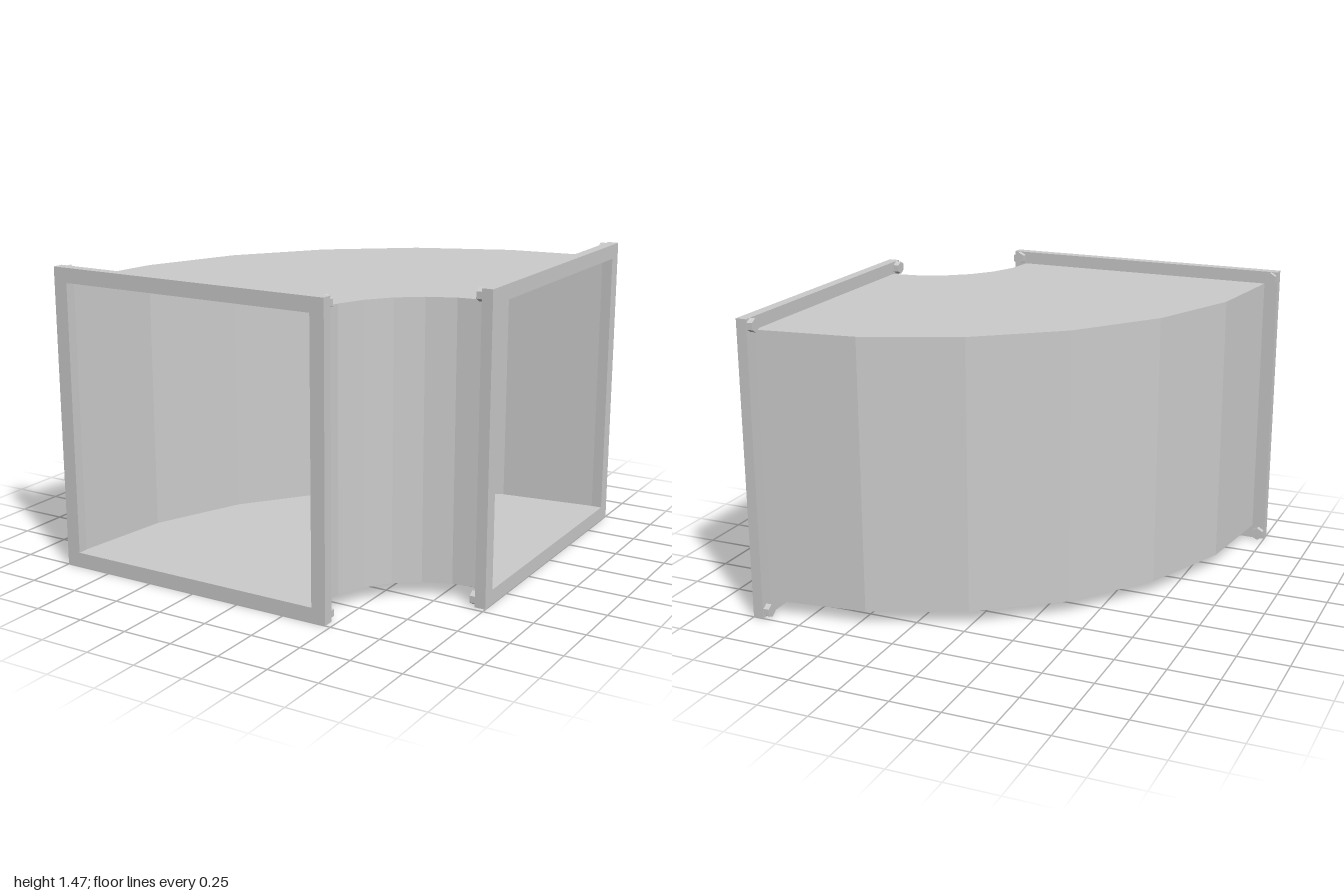
import * as THREE from 'three';

const CENTRE = 0.947;            // bend axis sits at x = z = CENTRE
const R_IN = 0.54, R_OUT = 1.88; // bend radii
const Y0 = 0.07, Y1 = 1.41;      // duct floor and ceiling
const SIZE = 1.473, HALF = SIZE / 2;
const SEGMENTS = 6;

const metal = new THREE.MeshStandardMaterial({ color: 0xcccccc, flatShading: true });
const sheet = new THREE.MeshStandardMaterial({ color: 0xcccccc, flatShading: true, side: THREE.DoubleSide });

function addMesh(parent, name, geometry, material, x, y, z) {
  const mesh = new THREE.Mesh(geometry, material);
  mesh.name = name;
  mesh.position.set(x, y, z);
  parent.add(mesh);
  return mesh;
}

function square(path, h) {
  path.moveTo(-h, -h);
  path.lineTo(h, -h);
  path.lineTo(h, h);
  path.lineTo(-h, h);
  path.closePath();
  return path;
}

// Square flange frame facing +z, with a hex bolt behind each corner
function createFlange(name) {
  const flange = new THREE.Group();
  flange.name = name;
  const shape = square(new THREE.Shape(), HALF);
  shape.holes.push(square(new THREE.Path(), 0.665));
  const frame = new THREE.ExtrudeGeometry(shape, { depth: 0.053, bevelEnabled: false });
  addMesh(flange, 'flangeFrame', frame, metal, 0, 0, 0);

  const nut = new THREE.CylinderGeometry(0.033, 0.033, 0.03, 6).rotateX(Math.PI / 2);
  for (const sx of [-1, 1]) {
    for (const sy of [-1, 1]) {
      addMesh(flange, 'cornerNut', nut, metal, sx * (HALF - 0.033), sy * (HALF - 0.033), -0.014);
    }
  }
  return flange;
}

export function createModel() {
  const model = new THREE.Group();
  model.name = 'ductElbow';

  // Curved walls of the quarter bend
  for (const [name, r] of [['innerWall', R_IN], ['outerWall', R_OUT]]) {
    const wall = new THREE.CylinderGeometry(r, r, Y1 - Y0, SEGMENTS, 1, true, Math.PI, Math.PI / 2);
    addMesh(model, name, wall, sheet, CENTRE, (Y0 + Y1) / 2, CENTRE);
  }

  // Flat floor and ceiling panels
  for (const [name, y] of [['floorPanel', Y0], ['ceilingPanel', Y1]]) {
    const panel = new THREE.RingGeometry(R_IN, R_OUT, SEGMENTS, 1, Math.PI / 2, Math.PI / 2);
    panel.rotateX(-Math.PI / 2);
    addMesh(model, name, panel, sheet, CENTRE, y, CENTRE);
  }

  // Flanges at the two mouths
  const front = createFlange('frontFlange');
  front.position.set(HALF - 1, HALF, CENTRE);
  const side = createFlange('sideFlange');
  side.position.set(CENTRE, HALF, HALF - 1);
  side.rotation.y = Math.PI / 2;
  model.add(front, side);

  return model;
}
